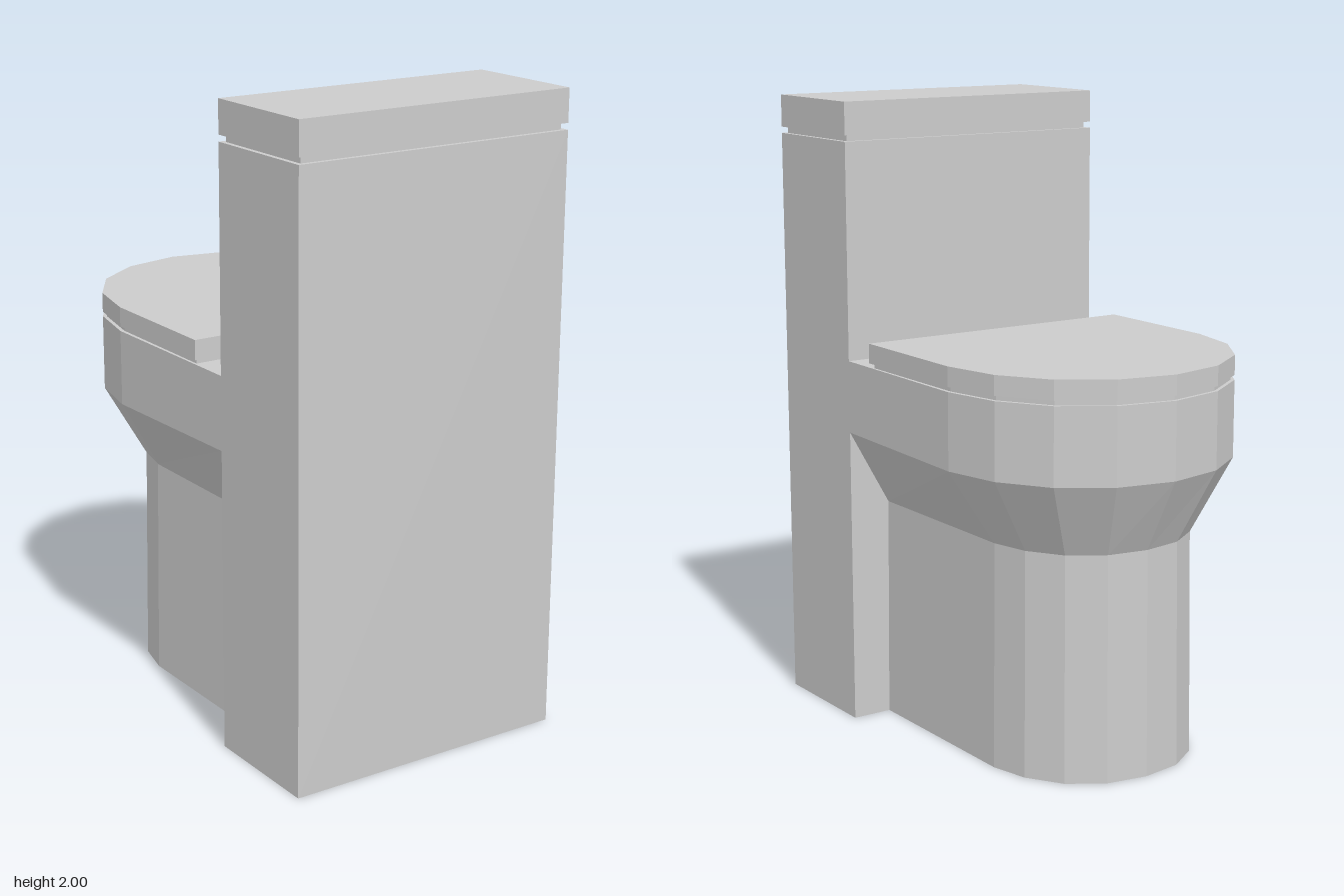
import * as THREE from 'three';

const material = new THREE.MeshStandardMaterial({ color: 0xcccccc, flatShading: true });

// Half outline of the bowl, from the straight side to the nose: [x, z]
const RIM = [[0.475, -0.255], [0.435, -0.44], [0.335, -0.595], [0.185, -0.697], [0, -0.735]];
const COLUMN = [[0.332, -0.285], [0.304, -0.407], [0.236, -0.515], [0.13, -0.585], [0, -0.607]];
const FOOT = [[0.34, -0.29], [0.311, -0.413], [0.241, -0.523], [0.133, -0.594], [0, -0.616]];

// Mirrors a half outline and closes it with a straight edge at backZ
function ring(half, y, backZ, backX = half[0][0], backY = y) {
  const right = [[backX, backY, backZ], ...half.map(([x, z]) => [x, y, z])];
  const left = right.slice(0, -1).reverse().map(([x, py, z]) => [-x, py, z]);
  return [...right, ...left];
}

// Joins stacked rings with flat walls and closes both ends
function loft(name, rings) {
  const pos = [];
  const tri = (a, b, c) => pos.push(...a, ...b, ...c);
  const n = rings[0].length;
  for (let r = 0; r < rings.length - 1; r++) {
    const lo = rings[r], hi = rings[r + 1];
    for (let i = 0; i < n; i++) {
      const j = (i + 1) % n;
      tri(lo[i], lo[j], hi[j]);
      tri(lo[i], hi[j], hi[i]);
    }
  }
  const bottom = rings[0], top = rings[rings.length - 1];
  for (let i = 1; i < n - 1; i++) {
    tri(bottom[0], bottom[i + 1], bottom[i]);
    tri(top[0], top[i], top[i + 1]);
  }
  const geometry = new THREE.BufferGeometry();
  geometry.setAttribute('position', new THREE.Float32BufferAttribute(pos, 3));
  geometry.computeVertexNormals();
  const mesh = new THREE.Mesh(geometry, material);
  mesh.name = name;
  return mesh;
}

// Box given by half width, y range and z range
function block(name, halfX, y0, y1, z0, z1) {
  const mesh = new THREE.Mesh(new THREE.BoxGeometry(halfX * 2, y1 - y0, z1 - z0), material);
  mesh.position.set(0, (y0 + y1) / 2, (z0 + z1) / 2);
  mesh.name = name;
  return mesh;
}

export function createModel() {
  const model = new THREE.Group();
  model.name = 'toilet';

  // Cistern with a recessed joint under its lid
  model.add(block('tank', 0.47, 0, 1.877, 0.33, 0.735));
  model.add(block('tankLidJoint', 0.455, 1.877, 1.897, 0.345, 0.72));
  model.add(block('tankLid', 0.47, 1.897, 2, 0.33, 0.735));

  // Pedestal flaring out to the bowl rim
  model.add(loft('bowl', [
    ring(FOOT, 0, 0.33),
    ring(COLUMN, 0.712, 0.33),
    ring(RIM, 0.948, 0.33, 0.47, 0.957),
    ring(RIM, 1.188, 0.33, 0.47),
  ]));

  // Seat lid resting on a slightly smaller spacer
  const inset = RIM.map(([x, z]) => [x * 0.975, z * 0.985]);
  model.add(loft('seatJoint', [ring(inset, 1.188, 0.183), ring(inset, 1.203, 0.183)]));
  model.add(loft('seatLid', [ring(RIM, 1.203, 0.195), ring(RIM, 1.265, 0.195)]));

  return model;
}
